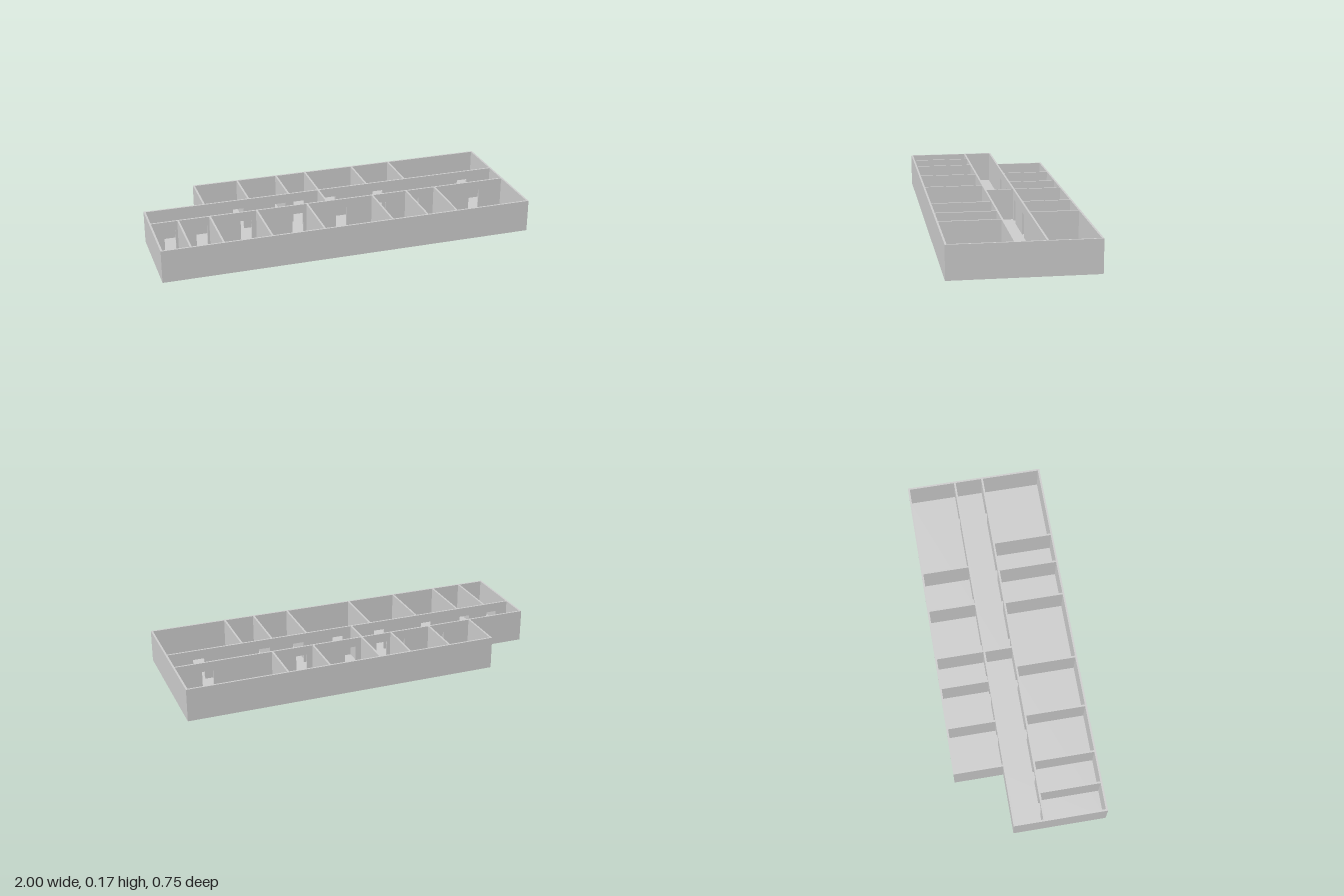
import * as THREE from 'three';

const H = 0.175;        // wall height
const T = 0.01;         // wall thickness
const FLOOR = 0.005;    // slab thickness
const DOOR_W = 0.06, DOOR_H = 0.125;
const BACK = -0.377, FRONT = 0.377, CORR_BACK = -0.11, CORR_FRONT = 0.046, NOTCH = -0.68;

export function createModel() {
  const model = new THREE.Group();
  const mat = new THREE.MeshStandardMaterial({ color: 0xcccccc, flatShading: true });

  function add(name, geometry) {
    const mesh = new THREE.Mesh(geometry, mat);
    mesh.name = name;
    model.add(mesh);
    return mesh;
  }

  // Wall along x, centred on z, with doorways cut up from the floor
  function wallX(name, x0, x1, z, doors = []) {
    const s = new THREE.Shape();
    s.moveTo(x0, 0);
    for (const d of [...doors].sort((a, b) => a - b)) {
      const l = d - DOOR_W / 2, r = d + DOOR_W / 2;
      s.lineTo(l, 0);
      s.lineTo(l, DOOR_H);
      s.lineTo(r, DOOR_H);
      s.lineTo(r, 0);
    }
    s.lineTo(x1, 0);
    s.lineTo(x1, H);
    s.lineTo(x0, H);
    const g = new THREE.ExtrudeGeometry(s, { depth: T, bevelEnabled: false });
    g.translate(0, 0, z - T / 2);
    add(name, g);
  }

  // Solid wall along z, centred on x
  function wallZ(name, x, z0, z1) {
    const g = new THREE.BoxGeometry(T, H, z1 - z0);
    g.translate(x, H / 2, (z0 + z1) / 2);
    add(name, g);
  }

  // L-shaped floor slab (shape y becomes -z)
  const plan = [[-1, FRONT], [1, FRONT], [1, BACK], [NOTCH, BACK],
    [NOTCH, CORR_BACK - T / 2], [-1, CORR_BACK - T / 2]];
  const slab = new THREE.Shape(plan.map(([x, z]) => new THREE.Vector2(x, -z)));
  const floor = new THREE.ExtrudeGeometry(slab, { depth: FLOOR, bevelEnabled: false });
  floor.rotateX(-Math.PI / 2);
  add('floor', floor);

  // Outer walls
  const h = T / 2;
  wallX('frontWall', -1, 1, FRONT - h);
  wallX('backWall', NOTCH, 1, BACK + h);
  wallZ('leftWall', 1 - h, BACK + T, FRONT - T);
  wallZ('rightWall', -1 + h, CORR_BACK + h, FRONT - T);
  wallZ('recessWall', NOTCH + h, BACK + T, CORR_BACK - h);

  // Corridor walls, one doorway per room
  wallX('corridorBackWall', -1, 1 - T, CORR_BACK, [-0.49, -0.255, -0.15, 0.032, 0.309, 0.82]);
  wallX('corridorFrontWall', -1 + T, 1 - T, CORR_FRONT,
    [-0.894, -0.725, -0.485, -0.2, 0.045, 0.272, 0.464, 0.826]);
  wallZ('corridorPartition', -0.036, CORR_BACK + h, CORR_FRONT - h);

  // Room partitions
  for (const x of [-0.43, -0.205, -0.035, 0.243, 0.468])
    wallZ('backPartition', x, BACK + T, CORR_BACK - h);
  for (const x of [-0.847, -0.678, -0.425, -0.147, 0.224, 0.42, 0.586])
    wallZ('frontPartition', x, CORR_FRONT + h, FRONT - T);

  return model;
}
